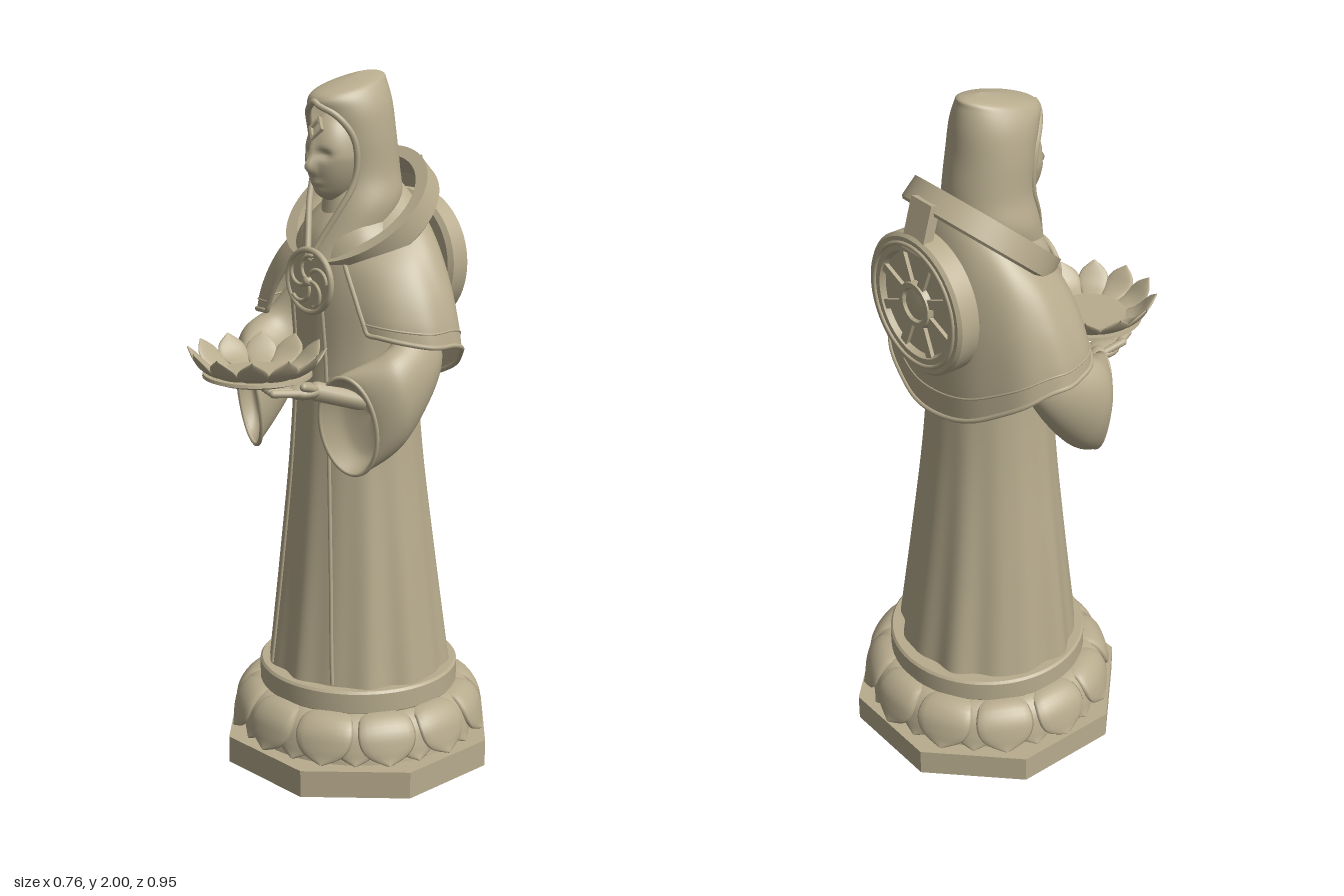
import * as THREE from 'three';
import { toCreasedNormals } from 'three/addons/utils/BufferGeometryUtils.js';

const stone = new THREE.MeshStandardMaterial({ color: 0xb8ac8e, side: THREE.DoubleSide });
stone.name = 'stone';
const AXIS_Z = -0.093; // centre of the pedestal
const V = (x, y, z) => new THREE.Vector3(x, y, z);
const TAU = Math.PI * 2;
const bump = (x, y, sx, sy) => Math.exp(-((x / sx) ** 2) - (y / sy) ** 2);

// Smoothly interpolates rows of numbers, t from 0 to 1
function table(rows, t) {
  const n = rows.length - 1, f = Math.min(Math.max(t, 0), 1) * n;
  const i = Math.min(Math.floor(f), n - 1), s = f - i;
  return rows[i].map((b, k) => {
    const c = rows[i + 1][k], a = i > 0 ? rows[i - 1][k] : b, d = i + 2 <= n ? rows[i + 2][k] : c;
    return b + 0.5 * s * (c - a + s * (2 * a - 5 * b + 4 * c - d + s * (3 * (b - c) + d - a)));
  });
}

// Grid surface from f(u, v); u may close on itself
function surface(f, nu, nv, closed) {
  const pos = [], idx = [], cols = closed ? nu : nu + 1;
  for (let j = 0; j <= nv; j++)
    for (let i = 0; i < cols; i++) pos.push(...f(i / nu, j / nv).toArray());
  for (let j = 0; j < nv; j++)
    for (let i = 0; i < nu; i++) {
      const a = j * cols + i, b = j * cols + ((i + 1) % cols);
      idx.push(a, b, b + cols, a, b + cols, a + cols);
    }
  const g = new THREE.BufferGeometry();
  g.setAttribute('position', new THREE.Float32BufferAttribute(pos, 3));
  g.setIndex(idx);
  g.computeVertexNormals();
  return g;
}

const lathe = (pts, seg = 64) =>
  toCreasedNormals(new THREE.LatheGeometry(pts.map(p => new THREE.Vector2(...p)), seg), 0.6);
const tube = (pts, r, closed = false) =>
  new THREE.TubeGeometry(new THREE.CatmullRomCurve3(pts, closed), pts.length * 3, r, 8, closed);

// Petal with an oval section; rows hold radius, height, half width, half thickness
function petal(rows, angle) {
  const g = surface((u, v) => {
    const [r, y, w, t] = table(rows, v);
    const p = table(rows, v - 0.03), q = table(rows, v + 0.03);
    const d = new THREE.Vector2(q[0] - p[0], q[1] - p[1]).normalize();
    const c = Math.cos(u * TAU), s = Math.sin(u * TAU) * t;
    return V(w * c, y + d.x * s, r - d.y * s);
  }, 16, 16, true);
  return g.rotateY(angle);
}

// Robe: height, half width, half depth, centre z
const robeRows = [[0.28, 0.268, 0.255, -0.09], [0.6, 0.235, 0.215, -0.085], [0.92, 0.2, 0.182, -0.08],
  [1.2, 0.182, 0.165, -0.075], [1.42, 0.19, 0.155, -0.06], [1.56, 0.16, 0.13, -0.06], [1.66, 0.07, 0.07, -0.07]];
function robePoint(a, v) {
  const [y, rx, rz, zc] = table(robeRows, v);
  const amp = 0.003 + 0.02 * Math.max(0, 1 - (y - 0.28) / 0.9);
  const k = 1 + amp * (Math.sin(9 * a + 0.4) + 0.7 * Math.sin(14 * a + 1));
  return V(rx * k * Math.sin(a), y, zc + rz * k * Math.cos(a));
}

// Cape: half width, half depth, centre z, rise from hem to neck, front opening
const capeRows = [[0.352, 0.192, -0.096, 0, 0.58], [0.337, 0.19, -0.095, 0.2, 0.54], [0.305, 0.183, -0.095, 0.45, 0.5],
  [0.255, 0.168, -0.092, 0.7, 0.46], [0.192, 0.148, -0.085, 0.88, 0.45], [0.12, 0.125, -0.07, 1, 0.45]];
function capePoint(u, v) {
  const [rx, rz, zc, g, a0] = table(capeRows, v);
  const a = a0 + u * (TAU - 2 * a0), s = Math.sin(a), c = Math.cos(a), front = Math.max(0, c);
  const hem = 1.285 - 0.165 * Math.max(0, -c) ** 2 + 0.05 * front ** 2, top = 1.62 - 0.1 * c;
  const k = 1 + 0.008 * Math.sin(11 * a) * (1 - v) + 0.3 * (front * s) ** 2; // fuller front corners
  return V(rx * k * s, hem + (top - hem) * g, zc + rz * k * c);
}

// Hood: front z and y, back z and y, half width, half angle of the face opening
const hoodRows = [[0.1, 1.5, -0.17, 1.55, 0.11, 0.05], [0.06, 1.62, -0.2, 1.66, 0.135, 0.42],
  [0.04, 1.72, -0.2, 1.74, 0.12, 0.78], [0.05, 1.82, -0.187, 1.84, 0.115, 0.85],
  [0.068, 1.89, -0.18, 1.92, 0.105, 0.55], [0.078, 1.93, -0.17, 1.975, 0.085, 0],
  [0.04, 1.957, -0.16, 1.995, 0.06, 0], [-0.08, 1.993, -0.1, 1.998, 0, 0]];
function hoodPoint(u, v) {
  const [zf, yf, zb, yb, rx, open] = table(hoodRows, v);
  const a0 = Math.max(0, open), a = a0 + u * (TAU - 2 * a0), m = (1 - Math.cos(a)) / 2;
  return V(rx * Math.sin(a), yf + (yb - yf) * m, zf + (zb - zf) * m);
}

// Sleeve: centre x y z, upright axis y z, sideways axis x z; last rows turn inside the cuff
const sleeveRows = [[0.18, 1.41, -0.1, 0.02, 0.05, 0.05, 0], [0.255, 1.265, -0.07, 0.05, 0.072, 0.062, 0],
  [0.262, 1.145, 0.035, 0.125, 0.04, 0.08, 0.02], [0.205, 1.075, 0.145, 0.14, 0.02, 0.08, -0.03],
  [0.215, 1.085, 0.1, 0.1, 0.015, 0.055, -0.02], [0.225, 1.1, 0.08, 0, 0, 0, 0]];
function sleevePoint(side, u, v) {
  const [x, y, z, ay, az, bx, bz] = table(sleeveRows, v);
  const c = Math.cos(u * TAU), s = Math.sin(-side * u * TAU);
  return V(side * (x - side * bx * s * -1), y + ay * c, z + az * c + side * bz * s);
}

// Head with nose, eye hollows and lips pushed out of a sphere
function headGeometry() {
  const g = new THREE.SphereGeometry(1, 56, 48), p = g.attributes.position;
  for (let i = 0; i < p.count; i++) {
    const x = p.getX(i), y = p.getY(i), z = p.getZ(i);
    const X = x * 0.08 * (1 - 0.25 * Math.max(0, -y)), Y = y * 0.125;
    let Z = z * 0.088;
    if (z > 0) {
      Z += 0.026 * bump(X, Y + 0.022, 0.011, 0.022) + 0.01 * bump(X, Y - 0.015, 0.01, 0.03);
      Z -= 0.016 * bump(Math.abs(X) - 0.032, Y - 0.012, 0.018, 0.012);
      Z += 0.008 * bump(X, Y + 0.065, 0.02, 0.008) + 0.012 * bump(X, Y + 0.095, 0.025, 0.02);
    }
    p.setXYZ(i, X, Y, Z);
  }
  g.computeVertexNormals();
  return g;
}

export function createModel() {
  const model = new THREE.Group();
  model.name = 'robedStatue';
  const add = (name, geometry, x = 0, y = 0, z = 0, parent = model) => {
    const m = new THREE.Mesh(geometry, stone);
    m.name = name;
    m.position.set(x, y, z);
    parent.add(m);
    return m;
  };
  const limb = (name, a, b, r) => {
    const d = b.clone().sub(a), m = add(name, new THREE.CapsuleGeometry(r, d.length(), 6, 14));
    m.position.copy(a).addScaledVector(d, 0.5);
    m.quaternion.setFromUnitVectors(V(0, 1, 0), d.normalize());
  };

  // Pedestal
  const R = 0.375 / Math.cos(Math.PI / 8);
  add('octagonalPlinth', toCreasedNormals(
    new THREE.CylinderGeometry(R, R, 0.08, 8).rotateY(Math.PI / 8), 0.3), 0, 0.04, AXIS_Z);
  add('pedestalCore', lathe([[0.335, 0.08], [0.33, 0.11], [0.315, 0.16], [0.28, 0.225]]), 0, 0, AXIS_Z);
  add('pedestalRing', lathe([[0.2, 0.215], [0.285, 0.215], [0.291, 0.222], [0.291, 0.278],
    [0.285, 0.285], [0, 0.285]]), 0, 0, AXIS_Z);
  const outer = [[0.27, 0.214, 0.06, 0.01], [0.312, 0.206, 0.075, 0.015], [0.34, 0.176, 0.084, 0.018],
    [0.354, 0.14, 0.077, 0.016], [0.364, 0.112, 0.052, 0.012], [0.379, 0.093, 0.002, 0.003]];
  const inner = outer.map(([r, y, w, t]) => [r - 0.014, y - 0.003, w * 0.85, t]);
  for (let i = 0; i < 12; i++) {
    add('pedestalPetal', petal(outer, (i * TAU) / 12), 0, 0, AXIS_Z);
    add('pedestalUnderPetal', petal(inner, ((i + 0.5) * TAU) / 12), 0, 0, AXIS_Z);
  }

  // Robe with the edges of its front panels
  add('robe', surface((u, v) => robePoint(u * TAU, v), 144, 60, true));
  for (const [low, high] of [[0.5, 0.2], [-0.43, -0.45]]) {
    const pts = [];
    for (let i = 0; i <= 20; i++) pts.push(robePoint(low + (high - low) * (i / 20), 0.01 + 0.034 * i));
    add('robePanelEdge', tube(pts, 0.006));
  }

  // Shoulder cape with border and hem line
  add('cape', surface(capePoint, 110, 36, false));
  const border = [], line = [], samples = 50;
  for (let i = 8; i > 0; i--) border.push(capePoint(0, i / 8));
  for (let i = 0; i <= samples; i++) {
    border.push(capePoint(i / samples, 0));
    line.push(capePoint(i / samples, 0.13));
  }
  for (let i = 1; i <= 8; i++) border.push(capePoint(1, i / 8));
  add('capeBorder', tube(border, 0.007));
  add('capeHemLine', tube(line, 0.003));

  // Sleeves, forearms and hands
  for (const s of [1, -1]) {
    add('sleeve', surface((u, v) => sleevePoint(s, u, v), 48, 50, true));
    const cuff = [];
    for (let i = 0; i < 28; i++) cuff.push(sleevePoint(s, i / 28, 0.6));
    add('cuffEdge', tube(cuff, 0.006, true));
    limb('forearm', V(s * 0.2, 1.13, 0.07), V(s * 0.14, 1.172, 0.2), 0.027);
    add('palm', new THREE.SphereGeometry(1, 20, 14).scale(0.042, 0.022, 0.055), s * 0.125, 1.175, 0.23);
    for (let i = 0; i < 4; i++)
      limb('finger', V(s * (0.15 - i * 0.02), 1.176, 0.25), V(s * (0.115 - i * 0.021), 1.184, 0.335 - i * 0.008), 0.011);
    limb('thumb', V(s * 0.15, 1.18, 0.21), V(s * 0.165, 1.2, 0.27), 0.011);
  }

  // Flower-shaped dish
  add('dish', lathe([[0, 1.193], [0.12, 1.197], [0.15, 1.208], [0.148, 1.217], [0.12, 1.217], [0, 1.213]]), 0, 0, 0.29);
  const dishPetal = [[0.105, 1.215, 0.027, 0.004], [0.13, 1.223, 0.036, 0.006], [0.152, 1.238, 0.044, 0.007],
    [0.172, 1.262, 0.034, 0.006], [0.189, 1.285, 0.002, 0.002]];
  for (let i = 0; i < 12; i++) add('dishPetal', petal(dishPetal, ((i + 0.5) * TAU) / 12), 0, 0, 0.29);

  // Head and hood
  add('head', headGeometry(), 0, 1.775, 0);
  add('neck', new THREE.CylinderGeometry(0.05, 0.075, 0.2, 28), 0, 1.62, -0.03);
  const diamond = (w, h) => [[0, h], [-w, 0], [0, -h], [w, 0]].map(p => new THREE.Vector2(...p));
  const gem = new THREE.Shape(diamond(0.025, 0.034));
  gem.holes.push(new THREE.Path(diamond(0.016, 0.023)));
  add('foreheadDiamond', new THREE.ExtrudeGeometry(gem, { depth: 0.012, bevelEnabled: false }),
    0, 1.852, 0.066).rotation.x = -0.45;
  add('hood', surface(hoodPoint, 72, 56, false));
  const rim = [];
  for (let i = 0; i <= 20; i++) rim.push(hoodPoint(0, (i / 20) * 0.7));
  for (let i = 20; i >= 0; i--) rim.push(hoodPoint(1, (i / 20) * 0.7));
  add('hoodRim', tube(rim, 0.009));

  // Tilted collar ring
  add('collarRing', lathe([[0.185, -0.035], [0.22, -0.035], [0.227, -0.028], [0.222, 0.035],
    [0.185, 0.035], [0.185, -0.035]], 80), 0, 1.61, -0.1).rotation.x = 0.7;
  add('collarBracket', new THREE.BoxGeometry(0.085, 0.14, 0.03), 0, 1.682, -0.3).rotation.x = 0.28;

  // Wheel on the back
  const wheel = new THREE.Group();
  wheel.name = 'backWheel';
  wheel.position.set(0, 1.46, -0.295);
  wheel.rotation.x = -Math.PI / 2;
  model.add(wheel);
  add('wheelDisc', lathe([[0, -0.038], [0.185, -0.038], [0.199, -0.028], [0.199, 0.027], [0.19, 0.036],
    [0.15, 0.036], [0.143, 0.02], [0.068, 0.02], [0.063, 0.036], [0.048, 0.036], [0.043, 0.028], [0, 0.034]]), 0, 0, 0, wheel);
  add('wheelGroove', new THREE.TorusGeometry(0.172, 0.006, 8, 64).rotateX(Math.PI / 2), 0, 0.036, 0, wheel);
  for (let i = 0; i < 8; i++) {
    const spoke = new THREE.BoxGeometry(0.026, 0.014, 0.09).translate(0, 0.024, 0.105);
    add('wheelSpoke', spoke.rotateY(((i + 0.5) * TAU) / 8), 0, 0, 0, wheel);
  }

  // Brooch on the chest
  const brooch = new THREE.Group();
  brooch.name = 'chestBrooch';
  brooch.position.set(0, 1.44, 0.094);
  model.add(brooch);
  add('broochDisc', new THREE.CylinderGeometry(0.085, 0.085, 0.016, 40).rotateX(Math.PI / 2), 0, 0, 0, brooch);
  add('broochRim', new THREE.TorusGeometry(0.086, 0.009, 10, 48), 0, 0, 0.004, brooch);
  add('broochHub', new THREE.SphereGeometry(0.016, 16, 12), 0, 0, 0.008, brooch);
  for (let i = 0; i < 5; i++) {
    const scroll = new THREE.TorusGeometry(0.036, 0.006, 8, 20, Math.PI * 1.1).translate(0.038, 0, 0);
    add('broochScroll', scroll.rotateZ((i * TAU) / 5), 0, 0, 0.01, brooch);
  }
  return model;
}
